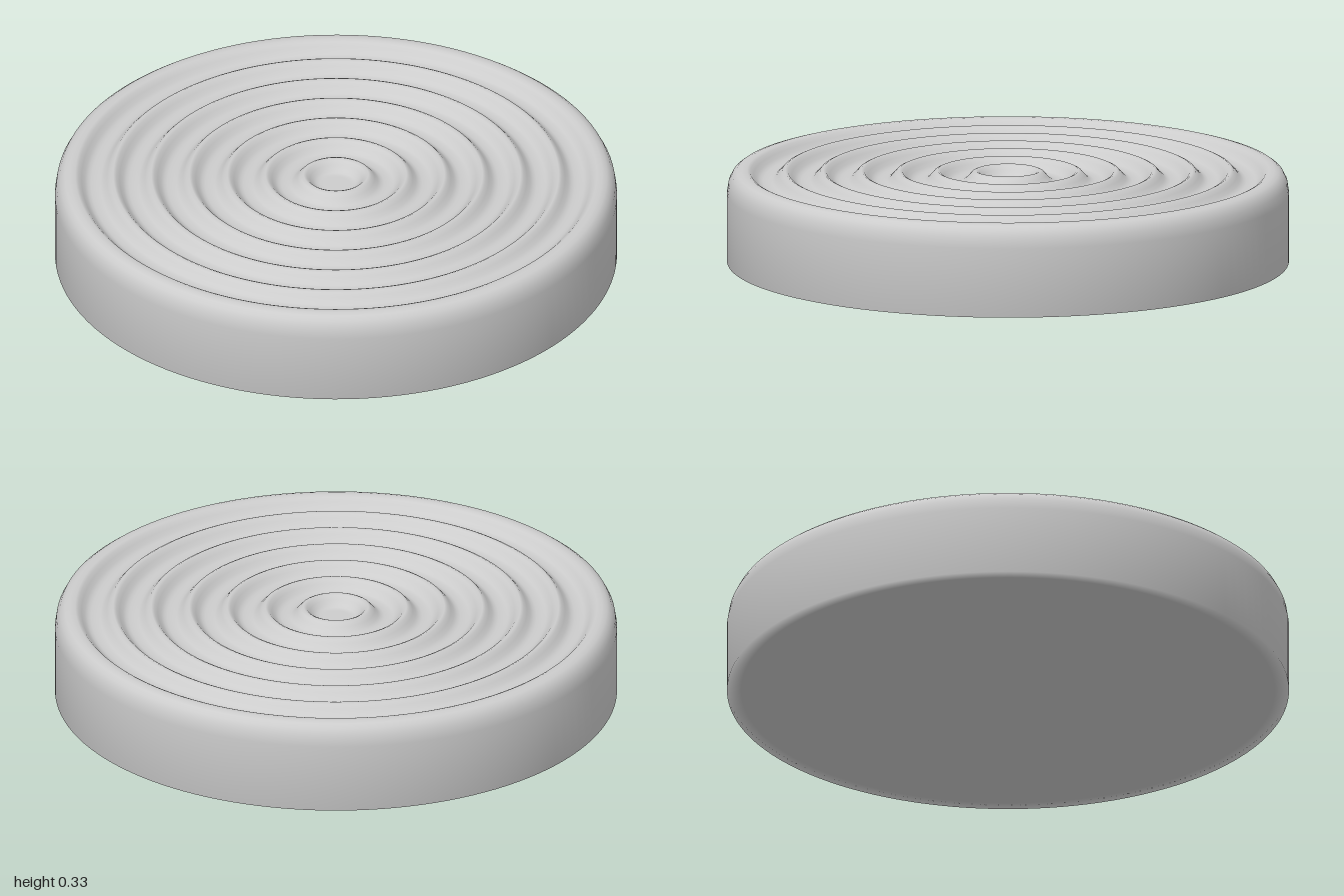
import * as THREE from 'three';

const HEIGHT = 0.33;
const DEPTH = 0.04;      // groove depth
const PITCH = 0.1355;    // spacing between ridges
const FIRST = 0.115;     // radius of the innermost ridge
const RIM = FIRST + 6 * PITCH;

// Narrow rounded ridges separated by broad troughs
function topHeight(r) {
  const c = Math.cos(Math.PI * (r - FIRST) / PITCH);
  return HEIGHT - DEPTH * (1 - c ** 4);
}

export function createModel() {
  const group = new THREE.Group();
  group.name = 'ripple disc';
  const grey = new THREE.MeshStandardMaterial({ color: 0xcccccc });
  grey.name = 'light grey';

  // Flat base, straight wall and rounded shoulder
  const points = [
    [0, 0], [0.95, 0], [1, 0], [1, 0.25], [0.994, 0.288],
    [0.981, 0.313], [0.965, 0.325], [0.948, 0.33],
  ].map(([x, y]) => new THREE.Vector2(x, y));

  // Concentric ridges from the rim in to the central dish
  const steps = 12;
  const innerTrough = FIRST - PITCH / 2;
  const count = Math.round((RIM - innerTrough) / PITCH * steps);
  for (let i = 0; i <= count; i++) {
    const r = RIM - i * PITCH / steps;
    points.push(new THREE.Vector2(r, topHeight(r)));
  }
  points.push(new THREE.Vector2(0, HEIGHT - DEPTH));

  const disc = new THREE.Mesh(new THREE.LatheGeometry(points, 128), grey);
  disc.name = 'rippledDisc';
  group.add(disc);
  return group;
}
